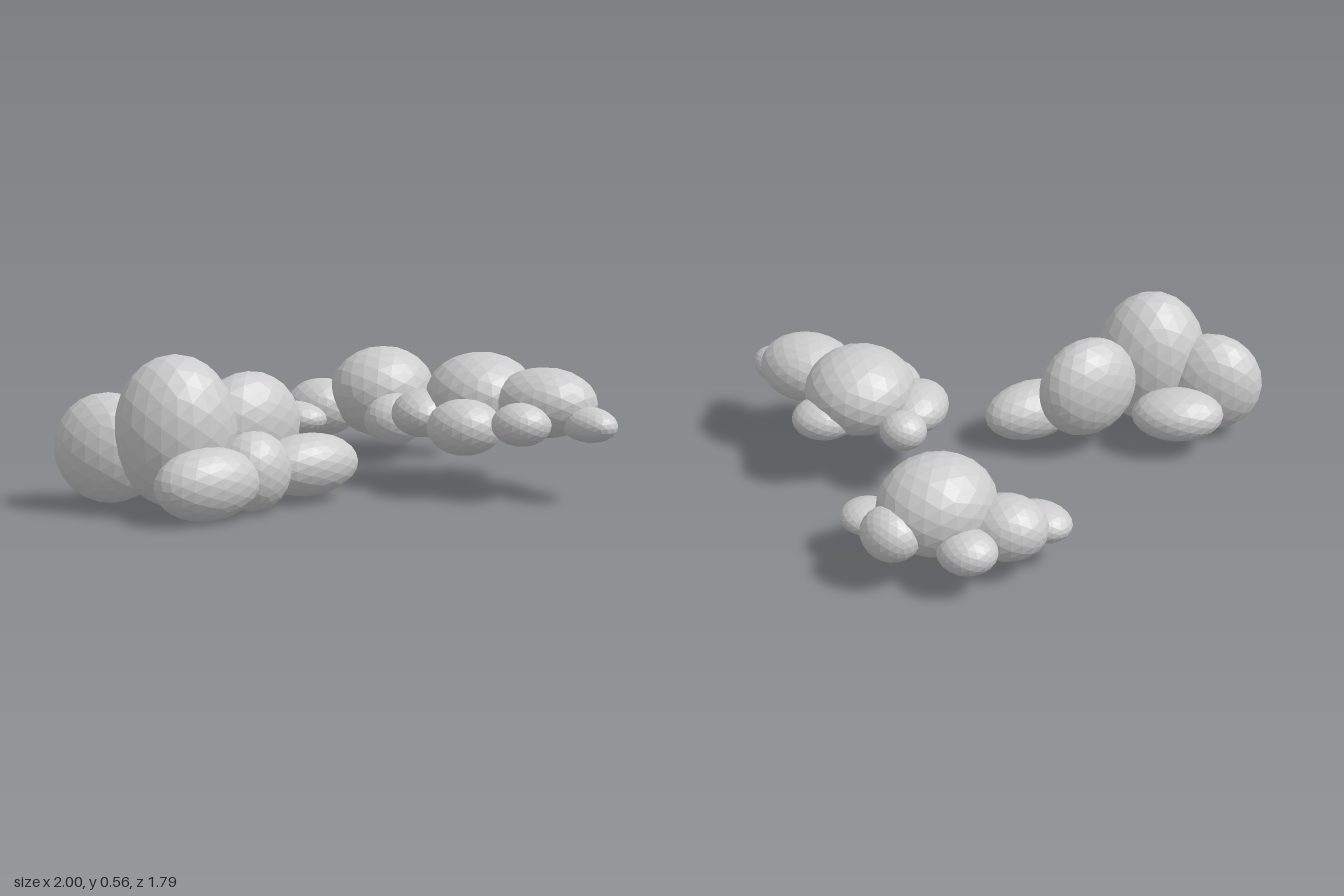
import * as THREE from 'three';

// Each puff: [x, y, z, rx, ry, rz, turn about y in degrees]
const clouds = {
  largeCloud: [
    [-0.55, 0.30, 0.60, 0.22, 0.275, 0.19, 15],  // main dome
    [-0.80, 0.23, 0.57, 0.20, 0.20, 0.14, 0],    // left
    [-0.34, 0.28, 0.33, 0.21, 0.20, 0.14, 45],   // back
    [-0.12, 0.145, 0.35, 0.205, 0.115, 0.125, 40], // right wing
    [-0.41, 0.14, 0.735, 0.20, 0.13, 0.125, 40], // front
    [-0.28, 0.155, 0.56, 0.14, 0.145, 0.12, 40], // right middle
    [-0.69, 0.17, 0.38, 0.18, 0.10, 0.13, 10],   // back left
  ],
  wideCloud: [
    [0.485, 0.355, -0.01, 0.21, 0.165, 0.22, 0],
    [0.73, 0.355, 0.13, 0.195, 0.13, 0.16, -15],
    [0.89, 0.295, 0.235, 0.125, 0.065, 0.085, -45],
    [0.65, 0.295, 0.27, 0.11, 0.08, 0.10, 0],
    [0.44, 0.27, 0.205, 0.14, 0.105, 0.125, 0],
    [0.27, 0.29, 0.02, 0.12, 0.09, 0.155, 0],
    [0.28, 0.28, -0.16, 0.09, 0.075, 0.085, 0],
    [0.59, 0.29, -0.14, 0.125, 0.08, 0.11, 20],
  ],
  smallCloud: [
    [0.04, 0.27, -0.635, 0.22, 0.185, 0.195, 35],
    [-0.21, 0.20, -0.625, 0.15, 0.12, 0.13, 0],
    [-0.30, 0.17, -0.515, 0.13, 0.07, 0.10, -15],
    [-0.10, 0.18, -0.78, 0.11, 0.08, 0.10, 0],
    [0.17, 0.225, -0.79, 0.115, 0.10, 0.10, -25],
    [0.30, 0.18, -0.62, 0.10, 0.06, 0.10, 0],
    [0.11, 0.185, -0.46, 0.13, 0.105, 0.105, 35],
  ],
};

export function createModel() {
  const model = new THREE.Group();
  model.name = 'cloudCluster';
  const material = new THREE.MeshStandardMaterial({ color: 0xcccccc, flatShading: true });
  const ball = new THREE.IcosahedronGeometry(1, 3);

  for (const [name, puffs] of Object.entries(clouds)) {
    const cloud = new THREE.Group();
    cloud.name = name;
    puffs.forEach(([x, y, z, rx, ry, rz, turn], i) => {
      const puff = new THREE.Mesh(ball, material);
      puff.name = i === 0 ? 'mainPuff' : `sidePuff${i}`;
      puff.position.set(x, y, z);
      puff.scale.set(rx, ry, rz);
      puff.rotation.y = THREE.MathUtils.degToRad(turn);
      cloud.add(puff);
    });
    model.add(cloud);
  }
  return model;
}
